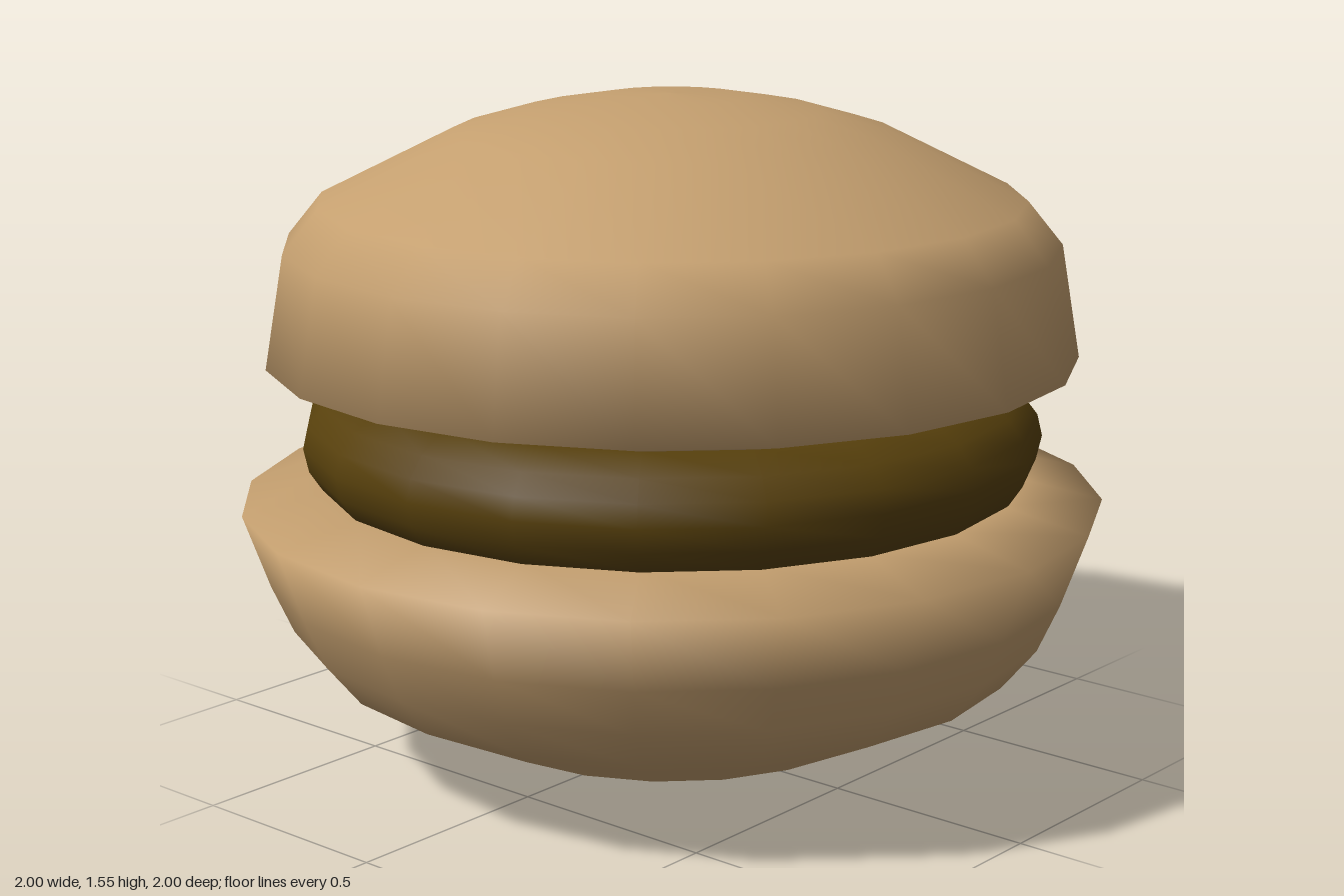
import * as THREE from 'three';

const SIDES = 20;

// Solid of revolution from a profile listed bottom to top
function turned(name, profile, color) {
  const points = profile.map(([r, y]) => new THREE.Vector2(r, y));
  const mesh = new THREE.Mesh(
    new THREE.LatheGeometry(points, SIDES),
    new THREE.MeshStandardMaterial({ color })
  );
  mesh.name = name;
  return mesh;
}

export function createModel() {
  const group = new THREE.Group();
  group.name = 'sandwichCookie';
  const crust = 0xc49f6f;
  const cream = 0x57400c;

  // Domed outer crust shared by both shells: radius, depth from the pole
  const dome = [[0, 0], [0.17, 0.007], [0.34, 0.037], [0.5, 0.083], [0.81, 0.237], [0.89, 0.335]];

  // Lower shell: dome down, wide rim, gently sloped top
  group.add(turned('bottomShell', [
    ...dome.map(([r, d]) => [r, 0.003 + d]),
    [0.94, 0.45], [1, 0.62], [0.8, 0.668], [0, 0.668],
  ], crust));

  // Filling: rounded disc between the shells
  group.add(turned('filling', [
    [0, 0.64], [0.78, 0.64], [0.815, 0.67], [0.845, 0.715], [0.857, 0.77],
    [0.845, 0.82], [0.81, 0.865], [0.74, 0.907], [0, 0.92],
  ], cream));

  // Upper shell: the same dome turned up, with a narrower rim
  group.add(turned('topShell', [
    [0, 0.905], [0.74, 0.905], [0.935, 0.957],
    ...dome.map(([r, d]) => [r, 1.552 - d]).reverse(),
  ], crust));

  return group;
}
